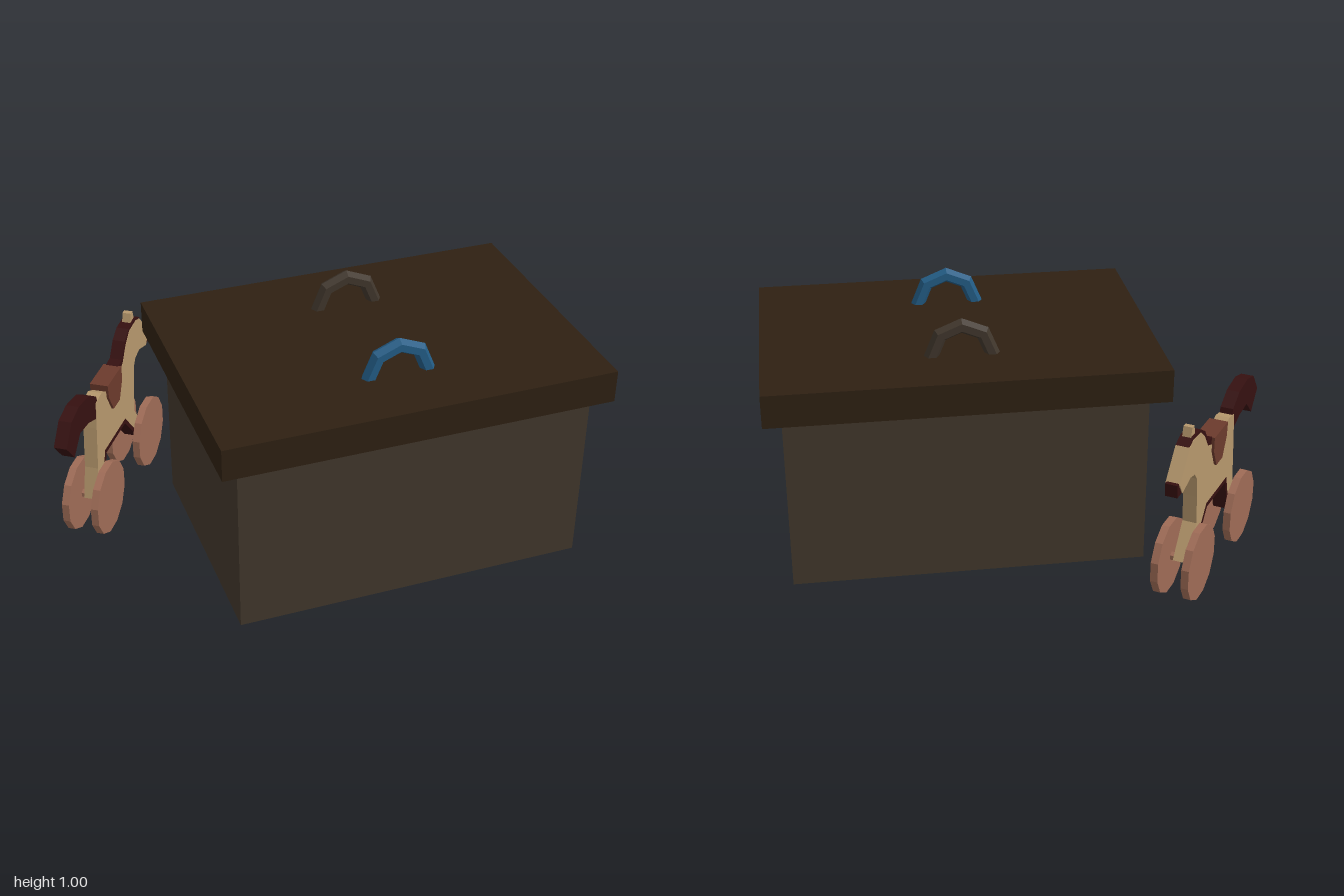
import * as THREE from 'three';

const mat = (color) => new THREE.MeshStandardMaterial({ color, flatShading: true });
const lidMat = mat(0x2e2012), boxMat = mat(0x41372b), blueMat = mat(0x235c85), greyMat = mat(0x40362c);
const coatMat = mat(0xb5976c), hairMat = mat(0x351010), wheelMat = mat(0x9e6b56), saddleMat = mat(0x6b3a2c);

function add(parent, name, geometry, material, x = 0, y = 0, z = 0) {
  const mesh = new THREE.Mesh(geometry, material);
  mesh.name = name;
  mesh.position.set(x, y, z);
  parent.add(mesh);
  return mesh;
}

// Flat cut-out of an outline, centred on its thickness
function slab(points, depth) {
  const shape = new THREE.Shape(points.map(([x, y]) => new THREE.Vector2(x, y)));
  return new THREE.ExtrudeGeometry(shape, { depth, bevelEnabled: false }).translate(0, 0, -depth / 2);
}

function createChest() {
  const chest = new THREE.Group();
  chest.name = 'chest';
  add(chest, 'chestBody', new THREE.BoxGeometry(1.39, 0.72, 0.95), boxMat, 0.235, 0.37, 0.175);
  add(chest, 'lid', new THREE.BoxGeometry(1.53, 0.13, 1.085), lidMat, 0.235, 0.795, 0.162);
  // Faceted arched handles
  const handle = new THREE.TorusGeometry(0.116, 0.03, 6, 4, Math.PI);
  add(chest, 'frontHandle', handle, blueMat, 0.235, 0.86, 0.435);
  add(chest, 'backHandle', handle, greyMat, 0.235, 0.86, -0.107);
  return chest;
}

// Horse is built with its head toward +x, then turned
function createHorse() {
  const horse = new THREE.Group();
  horse.name = 'toyHorse';

  // Head, neck, trunk and legs in one silhouette
  add(horse, 'horseBody', slab([
    [-0.16, 0.57], [-0.175, 0.46], [-0.195, 0.28], [-0.23, 0.15], [-0.16, 0.15],
    [-0.11, 0.31], [0.125, 0.31], [0.26, 0.15], [0.325, 0.15], [0.235, 0.28],
    [0.245, 0.4], [0.26, 0.485], [0.285, 0.515], [0.335, 0.525], [0.415, 0.5],
    [0.45, 0.55], [0.36, 0.66], [0.32, 0.675], [0.24, 0.67], [0.19, 0.63],
    [0.145, 0.57], [0.1, 0.555], [-0.05, 0.555], [-0.1, 0.58],
  ], 0.056), coatMat);

  // Dark lining under the belly and along the inner legs
  add(horse, 'bellyLining', slab([
    [-0.165, 0.15], [-0.11, 0.312], [0.125, 0.312], [0.262, 0.15],
    [0.24, 0.15], [0.118, 0.294], [-0.1, 0.294], [-0.145, 0.15],
  ], 0.058), hairMat);

  add(horse, 'muzzle', slab([[0.408, 0.5], [0.42, 0.555], [0.464, 0.553], [0.46, 0.5]], 0.048), hairMat);
  add(horse, 'mane', slab([
    [0.095, 0.555], [0.095, 0.585], [0.14, 0.59], [0.185, 0.65], [0.235, 0.68],
    [0.315, 0.685], [0.365, 0.664], [0.32, 0.665], [0.245, 0.66], [0.2, 0.625], [0.155, 0.56],
  ], 0.052), hairMat);
  add(horse, 'ears', slab([[0.275, 0.67], [0.29, 0.72], [0.312, 0.72], [0.325, 0.67]], 0.035), coatMat);
  add(horse, 'tail', slab([
    [-0.14, 0.56], [-0.15, 0.595], [-0.22, 0.64], [-0.32, 0.655], [-0.4, 0.635],
    [-0.465, 0.555], [-0.4, 0.475], [-0.33, 0.54], [-0.24, 0.53], [-0.165, 0.5],
  ], 0.052), hairMat);

  // Saddle with tapering side flaps
  add(horse, 'saddle', slab([
    [-0.05, 0.525], [-0.055, 0.585], [0.1, 0.585], [0.1, 0.525], [0.06, 0.45], [-0.01, 0.45],
  ], 0.076), saddleMat);

  // Wheel pairs on short axles
  const wheel = new THREE.CylinderGeometry(0.152, 0.152, 0.03, 12).rotateY(Math.PI / 12).rotateX(Math.PI / 2);
  const axle = new THREE.CylinderGeometry(0.018, 0.018, 0.12, 6).rotateX(Math.PI / 2);
  for (const [end, x] of [['front', 0.29], ['rear', -0.195]]) {
    add(horse, end + 'Axle', axle, wheelMat, x, 0.147, 0);
    for (const side of [-1, 1]) add(horse, end + 'Wheel', wheel, wheelMat, x, 0.148, side * 0.061);
  }

  horse.position.set(-0.715, 0, -0.315);
  horse.rotation.y = 0.974;
  return horse;
}

export function createModel() {
  const model = new THREE.Group();
  model.name = 'toyChestWithHorse';
  model.add(createChest(), createHorse());
  return model;
}
